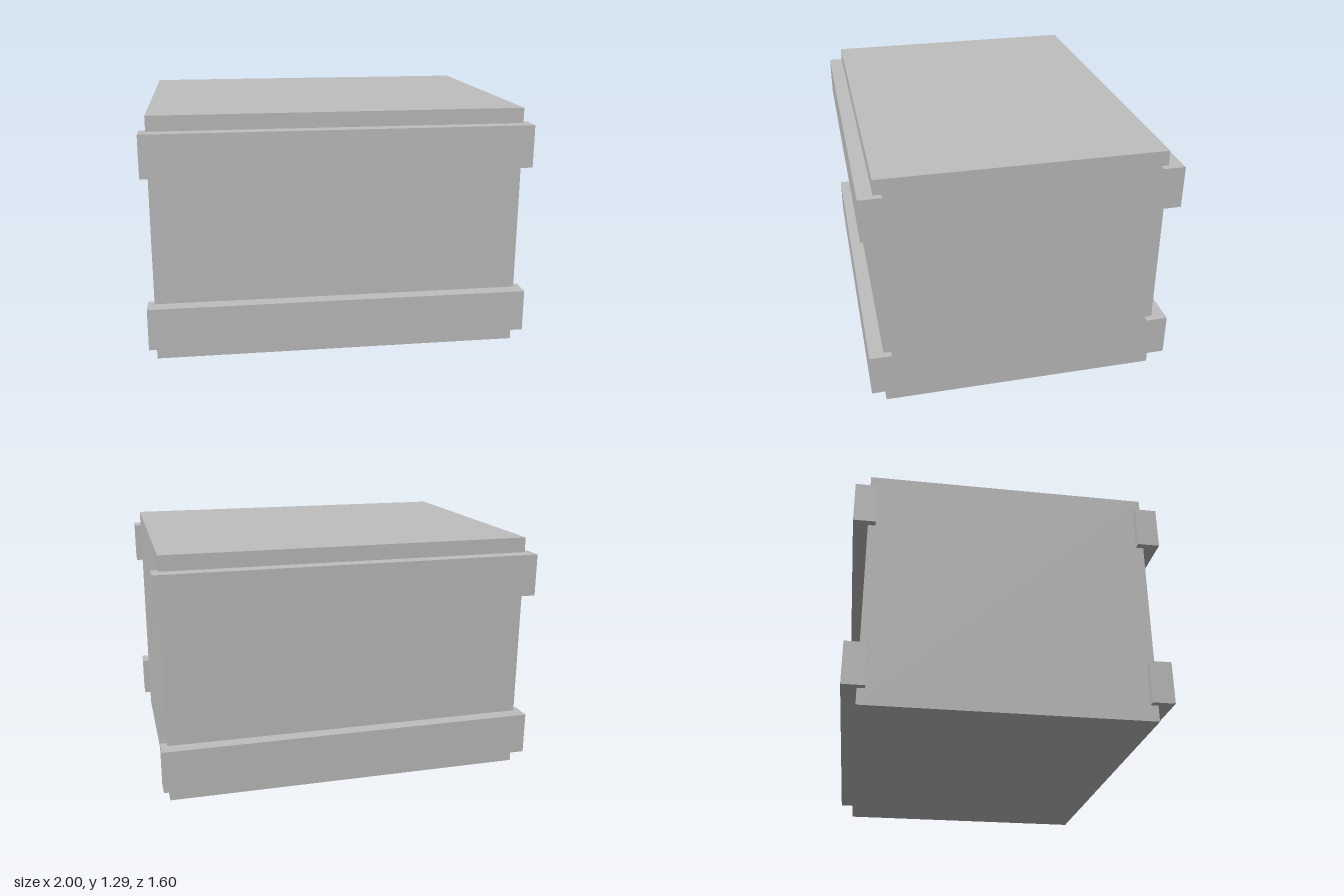
import * as THREE from 'three';

export function createModel() {
  const group = new THREE.Group();
  group.name = 'crate';
  const lightGrey = new THREE.MeshStandardMaterial({ color: 0xbfbfbf });
  lightGrey.name = 'lightGrey';

  function addBox(name, width, height, depth, x, y, z) {
    const mesh = new THREE.Mesh(new THREE.BoxGeometry(width, height, depth), lightGrey);
    mesh.name = name;
    mesh.position.set(x, y, z);
    group.add(mesh);
  }

  // Main box, standing on the ground
  addBox('body', 1.93, 1.29, 1.45, 0, 0.645, 0);

  // Horizontal battens wrapping the front and back edges
  for (const [side, sign] of [['front', 1], ['back', -1]]) {
    for (const [level, y] of [['Lower', 0.195], ['Upper', 1.1]]) {
      addBox(`${side}${level}Batten`, 2, 0.222, 0.114, 0, y, sign * 0.743);
    }
  }
  return group;
}
